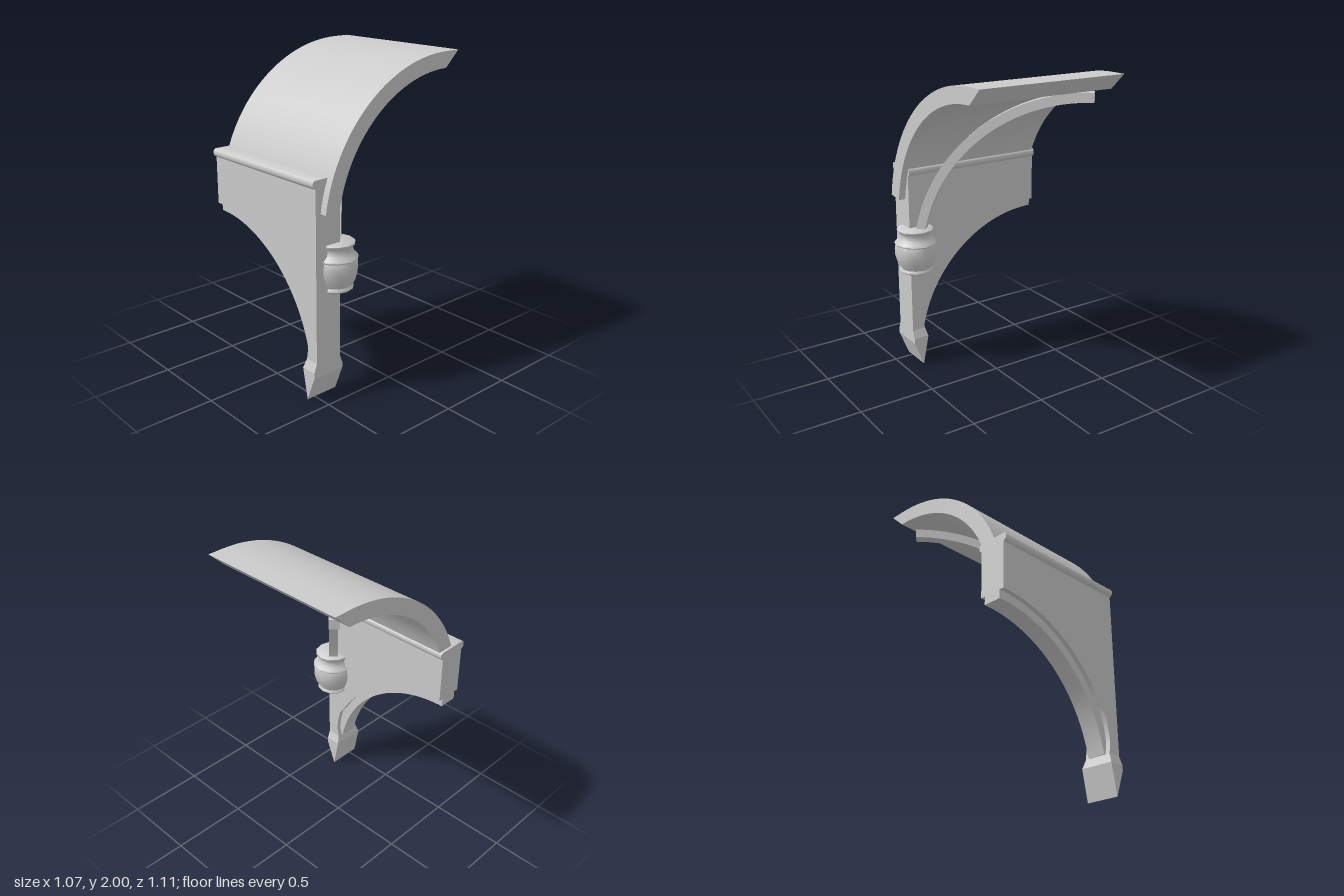
import * as THREE from 'three';
import { toCreasedNormals } from 'three/addons/utils/BufferGeometryUtils.js';

const material = new THREE.MeshStandardMaterial({ color: 0xcccccc });

function addMesh(group, name, geometry) {
  const mesh = new THREE.Mesh(geometry, material);
  mesh.name = name;
  group.add(mesh);
  return mesh;
}

// Extrude a shape with crisp edges and smooth curves
function extrude(shape, depth, curveSegments = 16) {
  const geometry = new THREE.ExtrudeGeometry(shape, { depth, bevelEnabled: false, curveSegments });
  return toCreasedNormals(geometry, 0.5);
}

// Extrude a (z, y) profile along x, from x0 to x1
function extrudeAlongX(shape, x0, x1, curveSegments) {
  return extrude(shape, x1 - x0, curveSegments).rotateY(-Math.PI / 2).translate(x1, 0, 0);
}

// Ring segment between two radii and two angles
function bandShape(cx, cy, inner, outer, start, end) {
  const shape = new THREE.Shape();
  shape.absarc(cx, cy, outer, start, end, false);
  shape.absarc(cx, cy, inner, end, start, true);
  shape.closePath();
  return shape;
}

// Join rectangular sections [y, x0, x1, z0, z1], listed bottom to top
function loftRectangles(sections) {
  const positions = [];
  const rings = sections.map(([y, x0, x1, z0, z1]) =>
    [[x0, y, z1], [x1, y, z1], [x1, y, z0], [x0, y, z0]]);
  const quad = (a, b, c, d) => positions.push(...a, ...b, ...c, ...a, ...c, ...d);
  for (let i = 0; i < rings.length - 1; i++) {
    for (let k = 0; k < 4; k++) {
      const n = (k + 1) % 4;
      quad(rings[i][k], rings[i][n], rings[i + 1][n], rings[i + 1][k]);
    }
  }
  const top = rings[rings.length - 1];
  quad(top[0], top[1], top[2], top[3]);
  const geometry = new THREE.BufferGeometry();
  geometry.setAttribute('position', new THREE.Float32BufferAttribute(positions, 3));
  geometry.computeVertexNormals();
  return geometry;
}

export function createModel() {
  const model = new THREE.Group();
  model.name = 'vaultBracket';

  // Curved vault slab with a short level end
  const vault = new THREE.Shape();
  vault.moveTo(-0.555, 1.9);
  vault.absarc(-0.45, 1.04, 0.86, Math.PI / 2, 0.146, true);
  vault.absarc(-0.45, 1.04, 0.96, 0.146, Math.PI / 2, false);
  vault.lineTo(-0.555, 2);
  vault.closePath();
  addMesh(model, 'vaultSlab', extrudeAlongX(vault, -0.52, 0.48, 14));

  // Wall with an arched underside running down into the post
  const wall = new THREE.Shape();
  wall.moveTo(-0.535, 1.34);
  wall.lineTo(-0.535, 1.02);
  wall.absarc(-0.535, 0.08, 0.94, Math.PI / 2, 0.52, true);
  wall.lineTo(0.328, 0.48);
  wall.lineTo(0.347, 0.4);
  wall.lineTo(0.356, 0.33);
  wall.lineTo(0.343, 0.25);
  wall.lineTo(0.435, 0.25);
  wall.lineTo(0.435, 1.34);
  wall.closePath();
  addMesh(model, 'archedWall', extrude(wall, 0.18).translate(0, 0, 0.355));

  // Narrower rim under the arch
  const rim = bandShape(-0.535, 0.08, 0.885, 0.955, 0.2, Math.PI / 2);
  addMesh(model, 'archRim', extrude(rim, 0.12, 20).translate(0, 0, 0.385));

  // Rounded moulding along the wall top
  const moulding = new THREE.Shape();
  moulding.moveTo(0.355, 1.325);
  moulding.lineTo(0.535, 1.325);
  moulding.quadraticCurveTo(0.556, 1.335, 0.556, 1.355);
  moulding.quadraticCurveTo(0.556, 1.375, 0.54, 1.38);
  moulding.lineTo(0.35, 1.38);
  moulding.quadraticCurveTo(0.334, 1.375, 0.334, 1.355);
  moulding.quadraticCurveTo(0.334, 1.335, 0.355, 1.325);
  addMesh(model, 'topMoulding', extrudeAlongX(moulding, -0.535, 0.435, 4));

  // Pointed foot of the post, flared to front and back
  addMesh(model, 'postFoot', loftRectangles([
    [0, 0.37, 0.37, 0.335, 0.555],
    [0.165, 0.337, 0.435, 0.335, 0.555],
    [0.2, 0.33, 0.435, 0.335, 0.555],
    [0.255, 0.344, 0.435, 0.355, 0.535],
  ]));

  // Diagonal rib rising from the capital to the far corner
  const rib = bandShape(0, 0, 1.07, 1.13, 0.13, Math.PI / 2);
  const ribGeometry = extrude(rib, 0.06, 16).translate(0, 0, -0.03);
  ribGeometry.rotateY(-Math.PI / 4).translate(-0.4, 0.76, -0.44);
  addMesh(model, 'diagonalRib', ribGeometry);

  // Turned capital at the back corner of the post
  const profile = [
    [0, 0.66], [0.05, 0.664], [0.1, 0.683], [0.109, 0.692], [0.107, 0.703], [0.101, 0.71],
    [0.122, 0.75], [0.135, 0.8], [0.136, 0.84], [0.13, 0.872], [0.138, 0.88], [0.13, 0.892],
    [0.112, 0.91], [0.104, 0.935], [0.108, 0.955], [0.118, 0.963], [0.119, 0.974],
    [0.112, 0.98], [0, 0.98],
  ].map(([r, y]) => new THREE.Vector2(r, y));
  const capital = toCreasedNormals(new THREE.LatheGeometry(profile, 12), 0.8);
  addMesh(model, 'capital', capital).position.set(0.395, 0, 0.355);

  return model;
}
